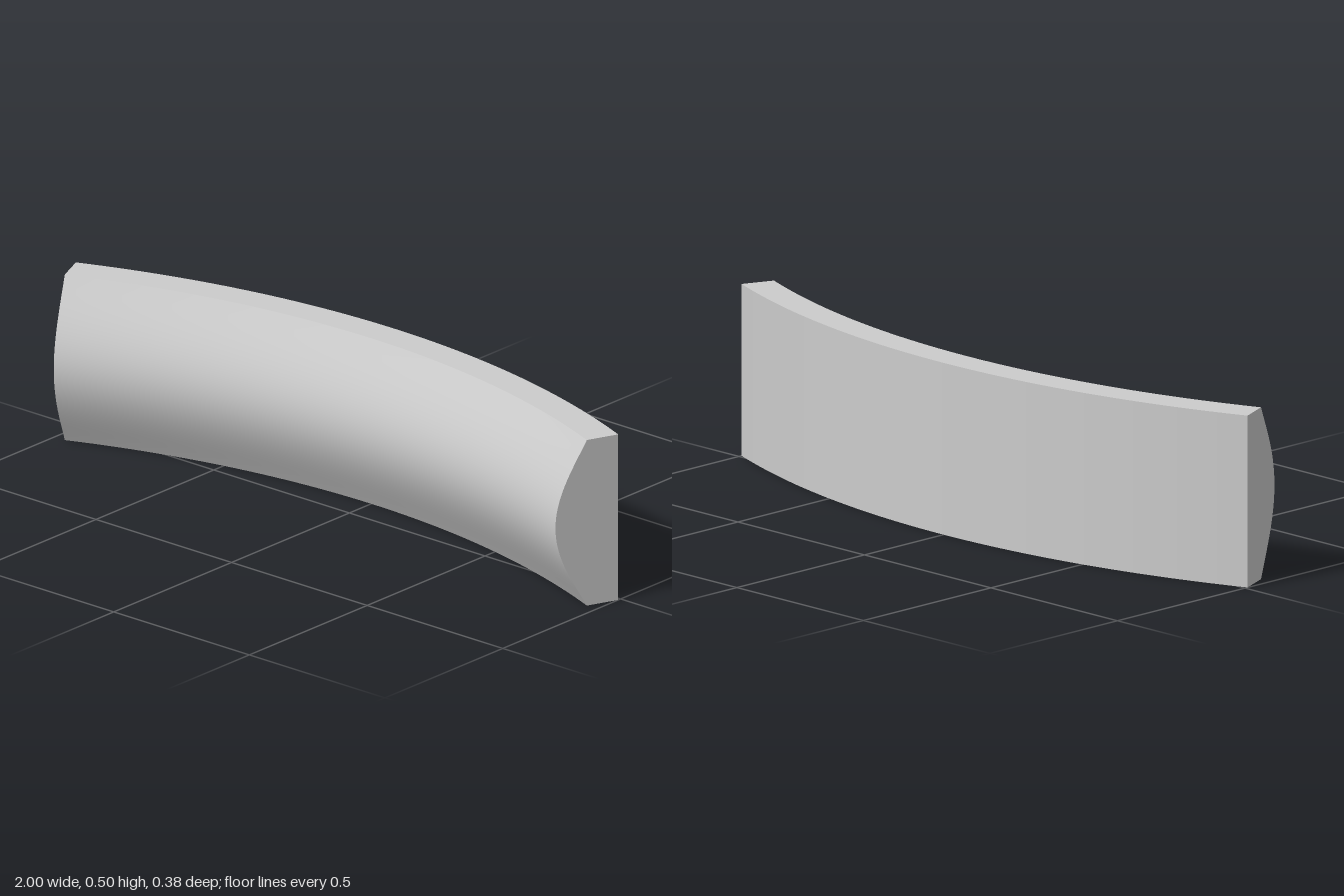
import * as THREE from 'three';

const R = 2.6;                    // radius of the outer (back) wall
const HALF = Math.asin(1 / R);    // half the sweep angle
const CENTRE_Z = 2.41;            // centre of the arc
const H = 0.495;                  // height
const EDGE = 0.0975;              // thickness at the top and bottom edges
const BULGE = 0.0975;             // extra thickness at mid height

export function createModel() {
  const group = new THREE.Group();
  group.name = 'curvedMoulding';
  const material = new THREE.MeshStandardMaterial({ color: 0xcccccc });

  // Bulged inner face as (thickness, height), from top to bottom
  const bulge = [];
  for (let i = 0; i <= 32; i++) {
    const u = 1 - i / 16;
    bulge.push(new THREE.Vector2(EDGE + BULGE * (1 - 1.3 * u * u + 0.3 * u ** 4), H * (1 + u) / 2));
  }
  const backBottom = new THREE.Vector2(0, 0);
  const backTop = new THREE.Vector2(0, H);

  // Each face is swept on its own so the edges between them stay sharp
  const faces = {
    backWall: [backBottom, backTop],
    topFace: [backTop, bulge[0]],
    bulgedFront: bulge,
    bottomFace: [bulge[32], backBottom],
  };
  for (const [name, points] of Object.entries(faces)) {
    const profile = points.map(p => new THREE.Vector2(R - p.x, p.y));
    const geometry = new THREE.LatheGeometry(profile, 48, Math.PI - HALF, 2 * HALF);
    const mesh = new THREE.Mesh(geometry, material);
    mesh.name = name;
    mesh.position.z = CENTRE_Z;
    group.add(mesh);
  }

  // Flat end caps, mirrored left and right
  for (const side of [-1, 1]) {
    const outline = [backBottom, backTop, ...bulge].map(p => new THREE.Vector2(-side * p.x, p.y));
    const cap = new THREE.Mesh(new THREE.ShapeGeometry(new THREE.Shape(outline)), material);
    cap.name = side > 0 ? 'leftEnd' : 'rightEnd';
    cap.position.set(side * R * Math.sin(HALF), 0, CENTRE_Z - R * Math.cos(HALF));
    cap.rotation.y = side * (Math.PI / 2 - HALF);
    group.add(cap);
  }
  return group;
}
